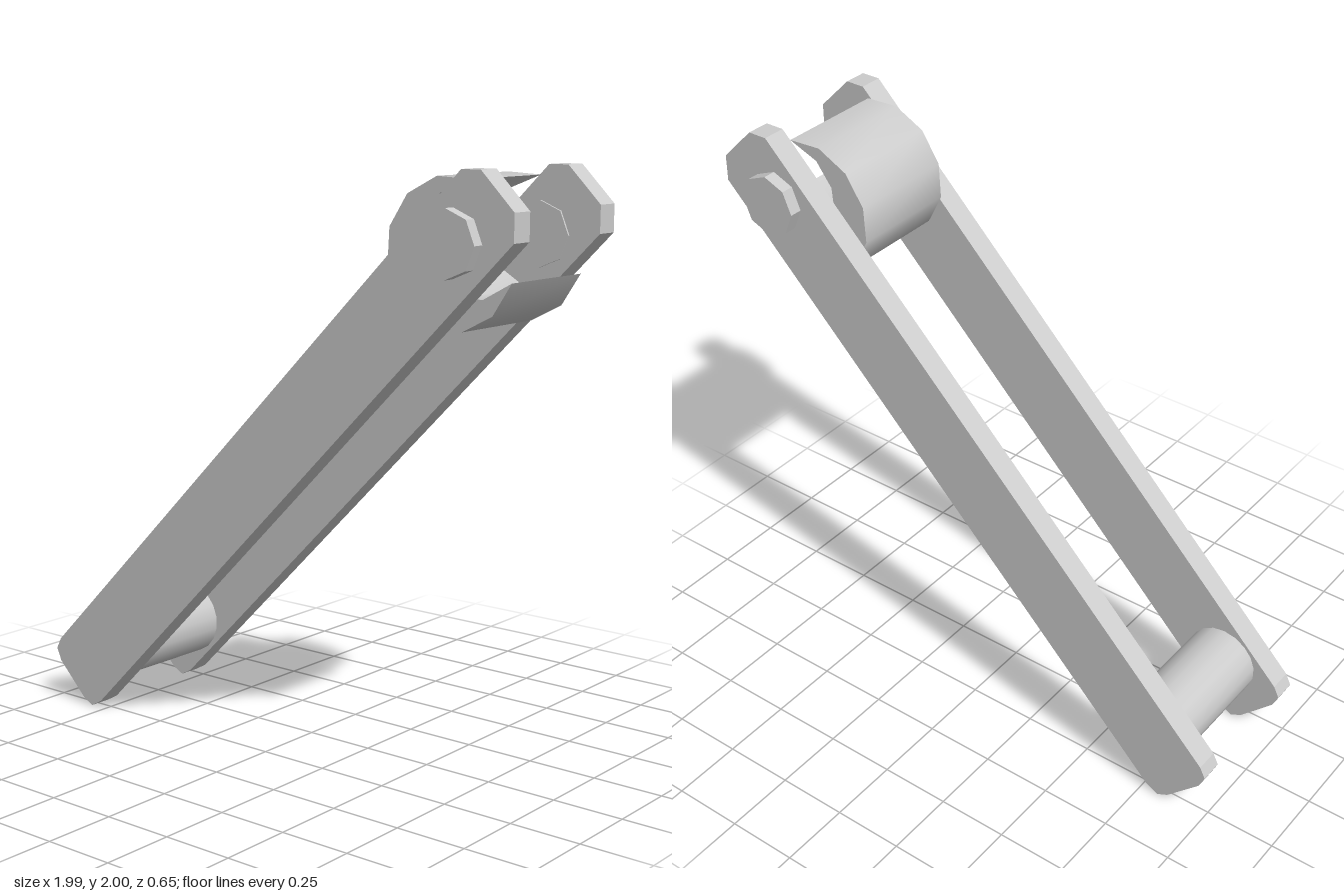
import * as THREE from 'three';
import { toCreasedNormals } from 'three/addons/utils/BufferGeometryUtils.js';

export function createModel() {
  const group = new THREE.Group();
  const material = new THREE.MeshStandardMaterial({ color: 0xcccccc });

  function add(name, geometry, x = 0, y = 0, z = 0) {
    const mesh = new THREE.Mesh(geometry, material);
    mesh.name = name;
    mesh.position.set(x, y, z);
    group.add(mesh);
  }

  // Extrudes an outline in the xy plane between two depths
  function slab(points, z0, z1) {
    const shape = new THREE.Shape(points);
    const geometry = new THREE.ExtrudeGeometry(shape, { depth: z1 - z0, bevelEnabled: false });
    return geometry.translate(0, 0, z0);
  }

  // Points on an arc, angles in degrees
  function arc(cx, cy, r, from, to, steps) {
    return Array.from({ length: steps + 1 }, (_, i) => {
      const a = THREE.MathUtils.degToRad(from + (to - from) * i / steps);
      return new THREE.Vector2(cx + r * Math.cos(a), cy + r * Math.sin(a));
    });
  }

  // Cylinder lying along z
  const rod = (r, length, sides) =>
    new THREE.CylinderGeometry(r, r, length, sides).rotateX(Math.PI / 2);

  // Two slanted side bars with clipped corners
  const barOutline = [
    [-0.995, 0.185], [-0.975, 0.225], [0.785, 1.985], [0.8, 2], [0.87, 2], [0.99, 1.88],
    [0.99, 1.79], [-0.77, 0.025], [-0.815, 0], [-0.855, 0.02], [-0.975, 0.14],
  ].map(([x, y]) => new THREE.Vector2(x, y));
  add('frontBar', slab(barOutline, 0.2, 0.283));
  add('backBar', slab(barOutline, -0.283, -0.2));

  // Octagonal pivot pins; the front one pokes through its bar
  const pin = (length) => toCreasedNormals(rod(0.107, length, 8), 0.5);
  add('frontPin', pin(0.145), 0.773, 1.78, 0.2525);
  add('backPin', pin(0.135), 0.773, 1.78, -0.2605);

  // Crescent hook: outer arc and inner arc around the pins
  const outer = arc(0.7, 1.738, 0.24, 72, 342, 9);
  const inner = arc(0.773, 1.78, 0.18, 287, 127, 5);
  add('hook', toCreasedNormals(slab([...outer, ...inner], -0.195, 0.195), 0.7));

  // Round spacer joining the lower ends
  add('spacer', rod(0.13, 0.404, 18), -0.76, 0.24, 0);

  return group;
}
